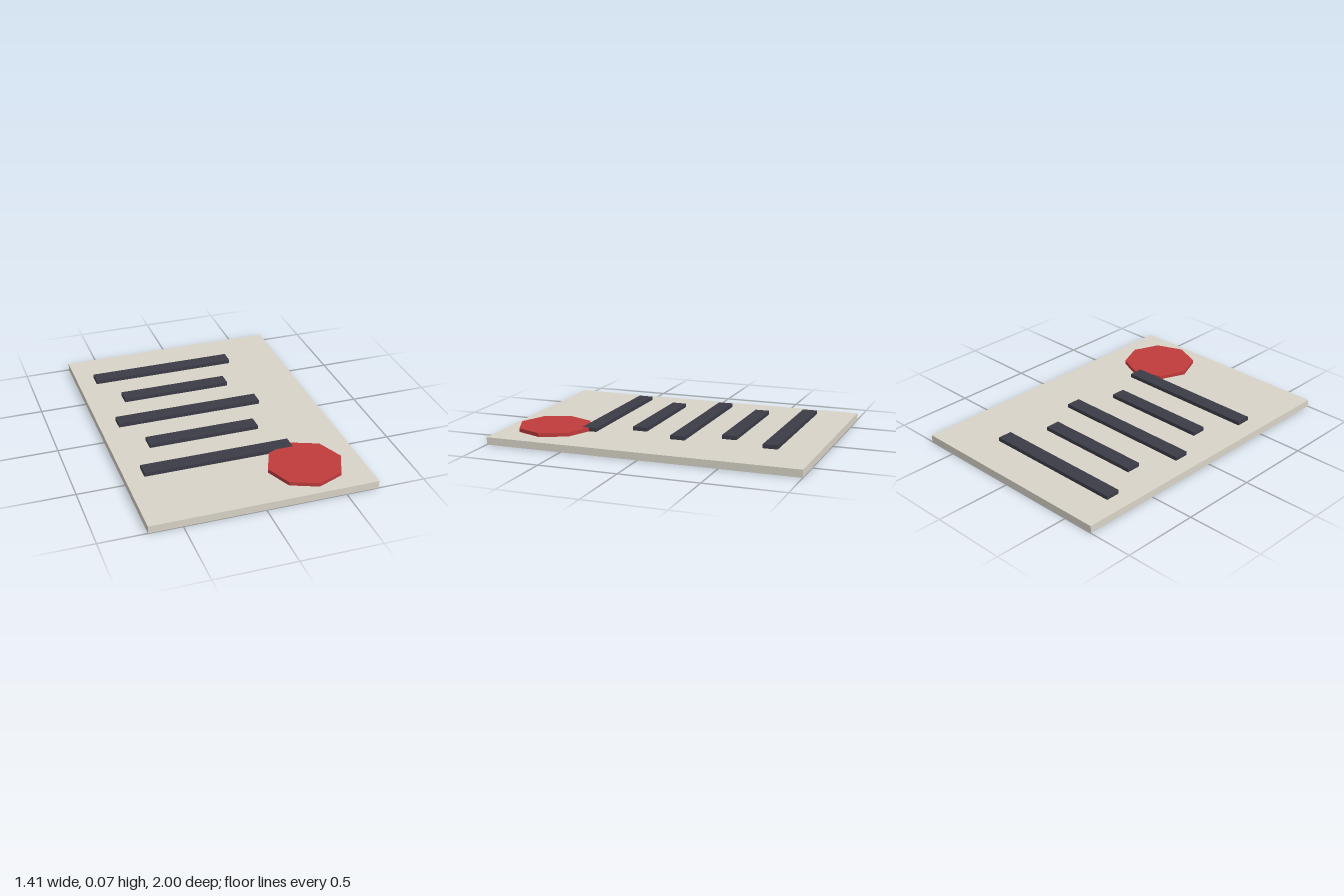
import * as THREE from 'three';

const material = (color) => new THREE.MeshStandardMaterial({ color, flatShading: true });

export function createModel() {
  const model = new THREE.Group();
  model.name = 'sealedDocument';
  const paper = material(0xd8d4c8);
  const ink = material(0x3c3c48);
  const wax = material(0xc03c3c);

  const add = (name, geometry, mat, x, y, z) => {
    const mesh = new THREE.Mesh(geometry, mat);
    mesh.name = name;
    mesh.position.set(x, y, z);
    model.add(mesh);
  };

  // Thick sheet of paper
  const thickness = 0.047;
  add('sheet', new THREE.BoxGeometry(1.412, thickness, 2), paper, 0, thickness / 2, 0);

  // Raised text lines, alternating long and short
  // (a hair taller than the seal so the overlapping tops do not flicker)
  const lineHeight = 0.0242;
  for (let i = 0; i < 5; i++) {
    const width = i % 2 === 0 ? 0.941 : 0.706;
    add(`textLine${i + 1}`, new THREE.BoxGeometry(width, lineHeight, 0.094), ink,
      -0.118, thickness + lineHeight / 2, -0.706 + i * 0.294);
  }

  // Octagonal wax seal near the front left corner
  const sealHeight = 0.0236;
  add('waxSeal', new THREE.CylinderGeometry(0.235, 0.235, sealHeight, 8), wax,
    0.353, thickness + sealHeight / 2, 0.706);

  return model;
}
